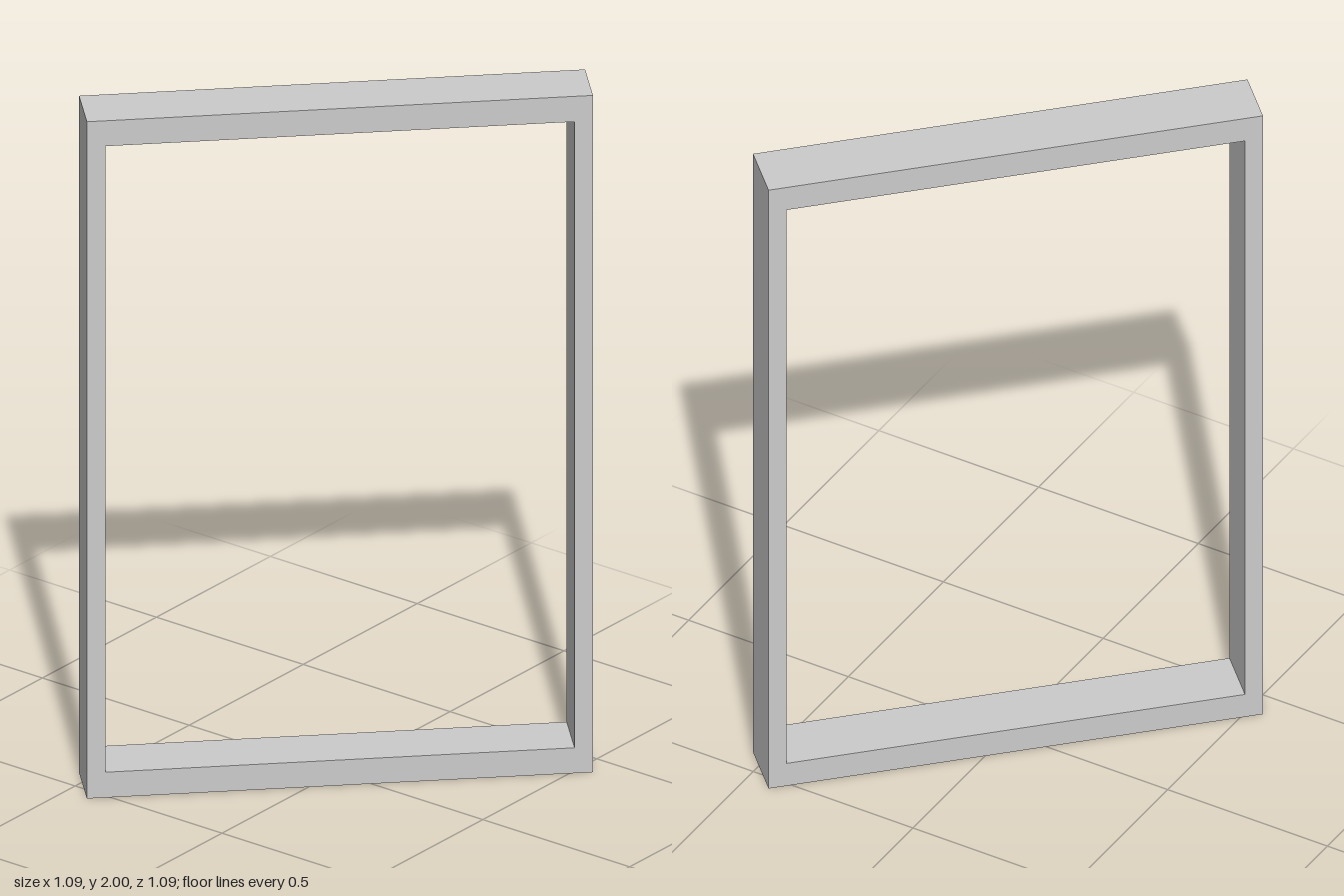
import * as THREE from 'three';

export function createModel() {
  const group = new THREE.Group();
  const material = new THREE.MeshStandardMaterial({ color: 0xcccccc, flatShading: true });

  const width = 1.372, height = 2, depth = 0.17;
  const side = 0.05, rail = 0.075; // widths of the uprights and the rails

  // Outline of the frame with its rectangular opening
  const rectangle = (x, y0, y1) => [
    new THREE.Vector2(-x, y0), new THREE.Vector2(x, y0),
    new THREE.Vector2(x, y1), new THREE.Vector2(-x, y1),
  ];
  const outline = new THREE.Shape(rectangle(width / 2, 0, height));
  outline.holes.push(new THREE.Path(rectangle(width / 2 - side, rail, height - rail).reverse()));

  const geometry = new THREE.ExtrudeGeometry(outline, { depth, bevelEnabled: false });
  geometry.translate(0, 0, -depth / 2);

  // The frame stands diagonally
  const frame = new THREE.Mesh(geometry, material);
  frame.name = 'frame';
  frame.rotation.y = -Math.PI / 4;
  group.add(frame);
  return group;
}
